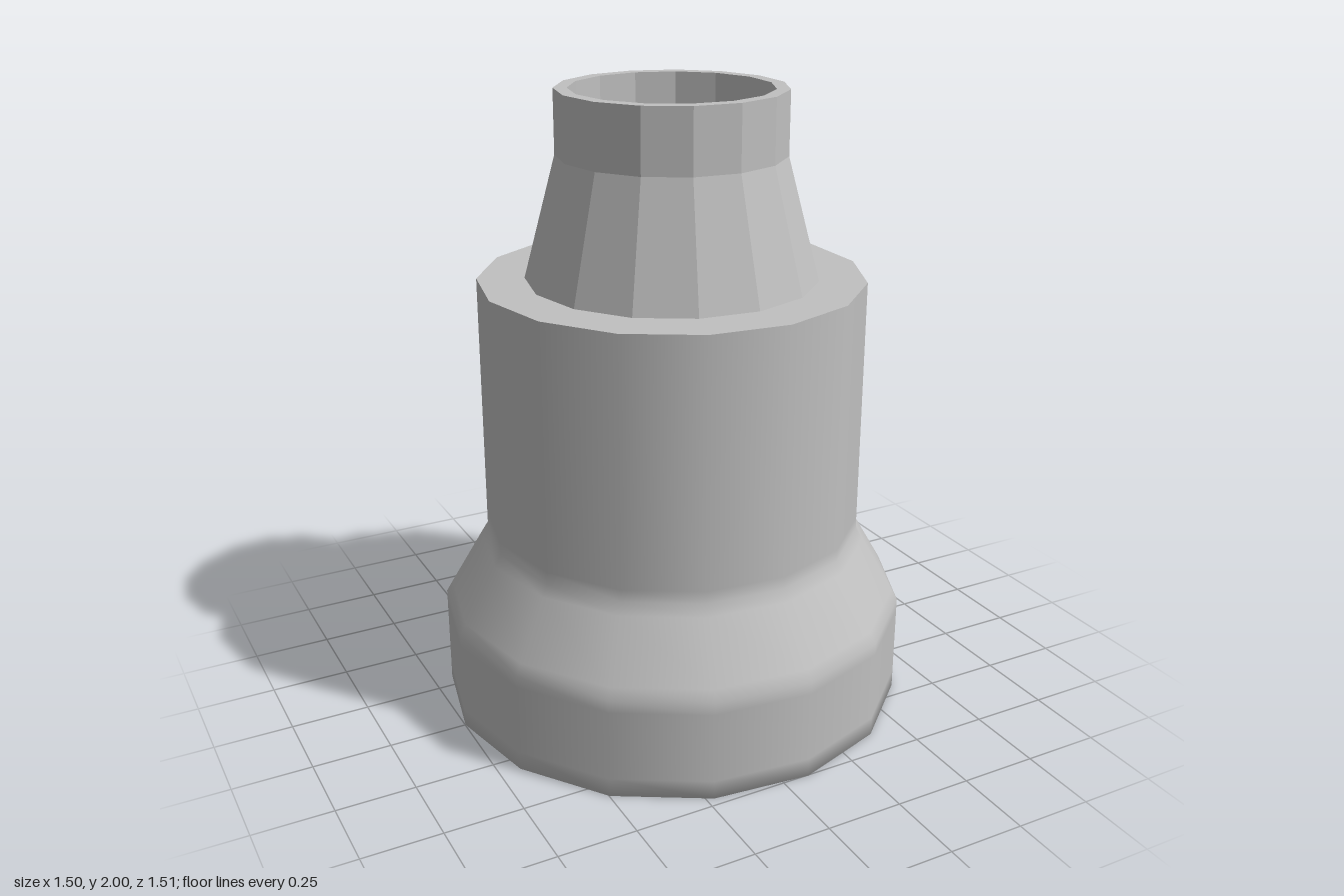
import * as THREE from 'three';

const SIDES = 15;

// Turns a radius/height profile around y, with a corner of the polygon at -x.
function turned(name, profile, material, flat) {
  const points = profile.map(([r, y]) => new THREE.Vector2(r, y));
  let geometry = new THREE.LatheGeometry(points, SIDES, -Math.PI / 2);
  if (flat) {
    geometry = geometry.toNonIndexed();
    geometry.computeVertexNormals();
  }
  const mesh = new THREE.Mesh(geometry, material);
  mesh.name = name;
  return mesh;
}

export function createModel() {
  const grey = new THREE.MeshStandardMaterial({ color: 0xc0c0c0 });
  grey.name = 'plain grey';

  const model = new THREE.Group();
  model.name = 'steppedSocket';

  // Smooth shell; close pairs of rings keep the shading soft only at the bends
  model.add(turned('outerShell', [
    [0.515, 0], [0.72, 0], [0.757, 0], [0.757, 0.06], [0.757, 0.29], [0.757, 0.33],
    [0.737, 0.365], [0.632, 0.545], [0.61, 0.58], [0.61, 0.62], [0.61, 1.415],
  ], grey, false));

  // Flat ledge around the neck
  model.add(turned('shoulder', [[0.61, 1.415], [0.46, 1.415]], grey, true));

  // Faceted neck with a thin rim and a shallow recess on top
  model.add(turned('neck', [
    [0.46, 1.415], [0.357, 1.8], [0.357, 2], [0.315, 2], [0.315, 1.88], [0, 1.88],
  ], grey, true));

  // Deep faceted hole in the underside
  model.add(turned('bore', [[0, 1.3], [0.515, 1.3], [0.515, 0]], grey, true));

  // Odd-sided rings reach further on one side, so shift to centre the whole
  model.children.forEach((part) => { part.position.x = 0.008; });
  return model;
}
